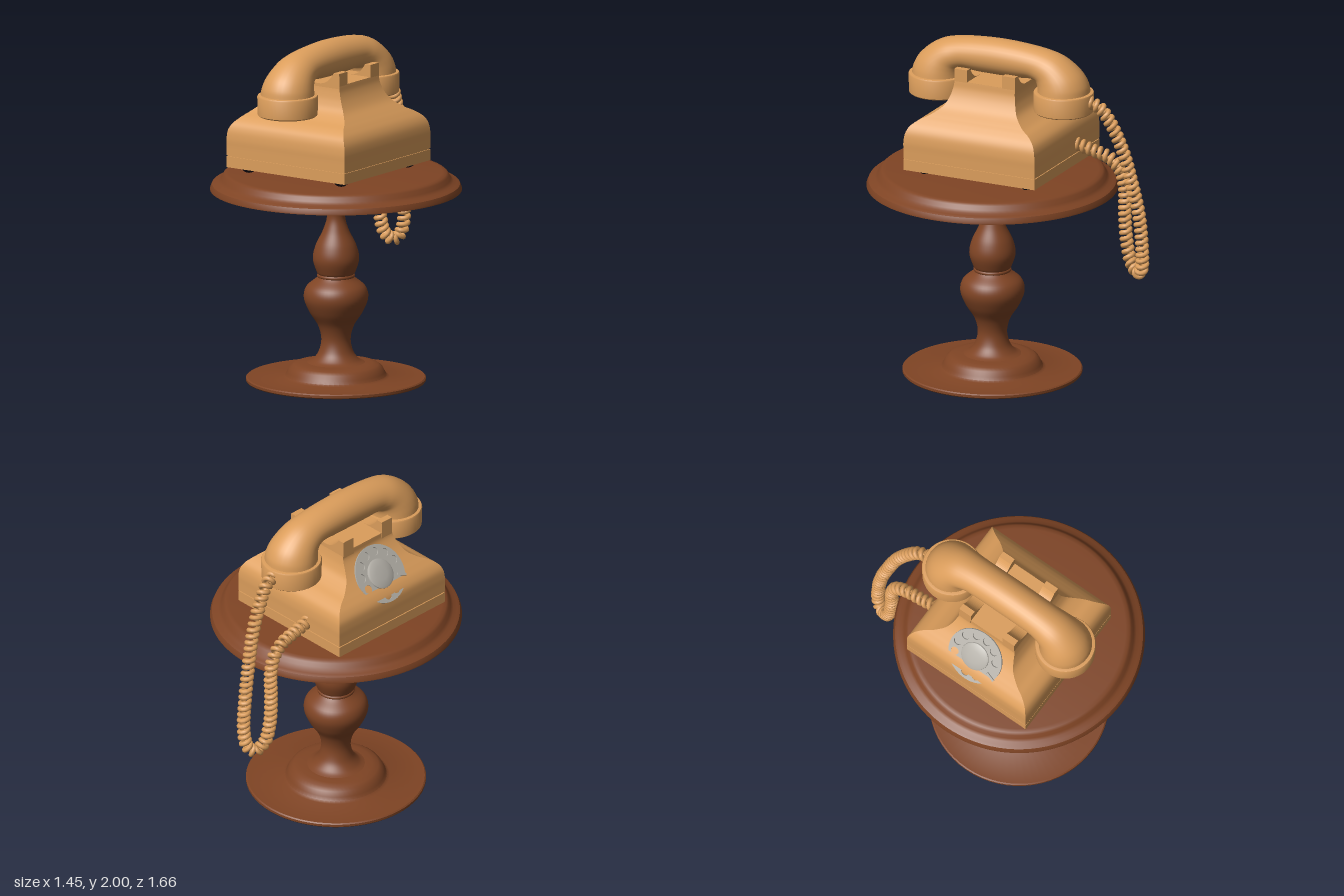
import * as THREE from 'three';
import { toCreasedNormals } from 'three/addons/utils/BufferGeometryUtils.js';

const material = (name, color) => {
  const m = new THREE.MeshStandardMaterial({ color });
  m.name = name;
  return m;
};

export function createModel() {
  const wood = material('brown wood', 0x7f4424);
  const tan = material('tan plastic', 0xdb9d5b);
  const grey = material('dial grey', 0xb2aea6);
  const black = material('dark rubber', 0x1c101c);
  const model = new THREE.Group();
  const CX = -0.07, CZ = 0.0775; // centre of the telephone

  const add = (parent, name, geometry, mat, x = 0, y = 0, z = 0) => {
    const mesh = new THREE.Mesh(geometry, mat);
    mesh.name = name;
    mesh.position.set(x, y, z);
    parent.add(mesh);
    return mesh;
  };
  const vec2 = (list) => list.map(([x, y]) => new THREE.Vector2(x, y));
  const lathe = (list, sides = 64) =>
    toCreasedNormals(new THREE.LatheGeometry(vec2(list), sides), 0.6);

  // Table: flat foot, turned stem, moulded top
  const table = new THREE.Group();
  table.name = 'table';
  table.position.z = 0.1;
  model.add(table);
  add(table, 'tableFoot', lathe([[0, 0], [0.515, 0], [0.52, 0.006], [0.52, 0.02], [0.513, 0.026],
    [0.31, 0.027], [0.293, 0.036], [0.283, 0.055], [0.268, 0.083], [0.245, 0.1], [0.21, 0.107], [0.16, 0.112], [0.1, 0.115]]), wood);
  const stem = new THREE.SplineCurve(vec2([[0.175, 0.108], [0.135, 0.128], [0.1, 0.175], [0.085, 0.25], [0.105, 0.33],
    [0.155, 0.41], [0.186, 0.49], [0.172, 0.555], [0.115, 0.605], [0.1, 0.625], [0.112, 0.645], [0.134, 0.72],
    [0.118, 0.8], [0.075, 0.89], [0.053, 0.97], [0.07, 1.05], [0.12, 1.1], [0.17, 1.135]]));
  add(table, 'tableStem', new THREE.LatheGeometry(stem.getPoints(100), 48), wood);
  const ring = add(table, 'stemRing', new THREE.TorusGeometry(0.098, 0.012, 10, 48), wood, 0, 0.622, 0);
  ring.rotation.x = Math.PI / 2;
  add(table, 'tableTop', lathe([[0, 1.13], [0.727, 1.13], [0.727, 1.138], [0.716, 1.164], [0.7, 1.173], [0.677, 1.18],
    [0.662, 1.195], [0.651, 1.218], [0.638, 1.229], [0.615, 1.232], [0, 1.232]], 96), wood);

  // Telephone body: base tray, seam and rubber feet
  const phone = new THREE.Group();
  phone.name = 'telephone';
  model.add(phone);
  add(phone, 'baseTray', new THREE.BoxGeometry(0.84, 0.064, 0.845), tan, CX, 1.3, CZ);
  add(phone, 'baseSeam', new THREE.BoxGeometry(0.828, 0.02, 0.833), tan, CX, 1.335, CZ);
  for (const x of [-0.4, 0.257])
    for (const z of [-0.25, 0.405])
      add(phone, 'foot', new THREE.SphereGeometry(0.05, 20, 14), black, x, 1.28, z);

  // Upper shell: rectangular sections [y, left x, right x, half depth], sharp at the corners
  const rows = [[1.338, -0.49, 0.35, 0.4225], [1.39, -0.49, 0.35, 0.4225], [1.44, -0.49, 0.35, 0.4225],
    [1.49, -0.484, 0.342, 0.415], [1.53, -0.462, 0.322, 0.395], [1.565, -0.43, 0.29, 0.352], [1.595, -0.4, 0.257, 0.295],
    [1.64, -0.357, 0.208, 0.238], [1.69, -0.318, 0.175, 0.212], [1.74, -0.29, 0.155, 0.199], [1.785, -0.286, 0.148, 0.192]];
  const curve = (k) => new THREE.CatmullRomCurve3(
    rows.map((r) => new THREE.Vector3(r[k], r[0], r[3])), false, 'catmullrom', 0.5);
  const steps = 50;
  const lefts = curve(1).getPoints(steps), rights = curve(2).getPoints(steps);
  const shell = { pos: [], index: [] };
  for (let side = 0; side < 4; side++) {
    for (let i = 0; i <= steps; i++) {
      const { x: x0, y, z: h } = lefts[i], x1 = rights[i].x;
      const corners = [[x0, CZ + h], [x1, CZ + h], [x1, CZ - h], [x0, CZ - h]];
      for (const [x, z] of [corners[side], corners[(side + 1) % 4]]) shell.pos.push(x, y, z);
      if (i < steps) {
        const a = (side * (steps + 1) + i) * 2;
        shell.index.push(a, a + 1, a + 3, a, a + 3, a + 2);
      }
    }
  }
  const loft = ({ pos, index }) => {
    const g = new THREE.BufferGeometry();
    g.setAttribute('position', new THREE.Float32BufferAttribute(pos, 3));
    g.setIndex(index);
    g.computeVertexNormals();
    return g;
  };
  add(phone, 'bodyShell', loft(shell), tan);
  add(phone, 'bodyTop', new THREE.BoxGeometry(0.432, 0.012, 0.382), tan, -0.069, 1.779, CZ);

  // Cradle: two saddle bars ending in horns
  const saddle = new THREE.Shape();
  saddle.moveTo(-0.219, 1.75);
  saddle.lineTo(0.219, 1.75);
  saddle.lineTo(0.217, 1.857);
  saddle.lineTo(0.178, 1.857);
  saddle.quadraticCurveTo(0.14, 1.79, 0.08, 1.786);
  saddle.lineTo(-0.08, 1.786);
  saddle.quadraticCurveTo(-0.14, 1.79, -0.178, 1.857);
  saddle.lineTo(-0.217, 1.857);
  for (const z of [-0.118, 0.19])
    add(phone, 'cradleBar', new THREE.ExtrudeGeometry(saddle, { depth: 0.082, bevelEnabled: false, curveSegments: 12 }), tan, CX, 0, z);

  // Dial on the sloping face, local y pointing out of it
  const dial = new THREE.Group();
  dial.name = 'dial';
  dial.position.set(-0.397, 1.612, 0.073);
  dial.rotation.z = 0.927;
  phone.add(dial);
  add(dial, 'dialBase', new THREE.CylinderGeometry(0.165, 0.155, 0.03, 48), grey, 0, -0.024, 0);
  const plate = new THREE.Shape().absarc(0, 0, 0.174, 0, Math.PI * 2);
  const stopAngle = 1.99;
  for (let i = 0; i < 10; i++) {
    const a = stopAngle + 0.72 + i * 0.54;
    plate.holes.push(new THREE.Path().absarc(Math.cos(a) * 0.133, Math.sin(a) * 0.133, 0.025, 0, Math.PI * 2, true));
  }
  const plateGeo = new THREE.ExtrudeGeometry(plate, { depth: 0.009, bevelEnabled: false, curveSegments: 28 });
  plateGeo.rotateX(Math.PI / 2);
  add(dial, 'fingerPlate', plateGeo, grey);
  add(dial, 'dialCentre', lathe([[0.09, -0.002], [0.088, 0.006], [0.078, 0.011], [0.04, 0.015], [0, 0.016]], 40), grey);
  const stop = add(dial, 'fingerStop', new THREE.BoxGeometry(0.06, 0.008, 0.014), grey,
    Math.cos(stopAngle) * 0.148, 0.004, Math.sin(stopAngle) * 0.148);
  stop.rotation.y = -stopAngle;

  // Handset grip: round sections given by outer and inner edge [offset, y] and half width
  const handset = new THREE.Group();
  handset.name = 'handset';
  handset.position.set(CX, 0, CZ);
  phone.add(handset);
  const half = [[0.558, 1.735, 0.25, 1.735, 0.158], [0.548, 1.79, 0.249, 1.765, 0.152], [0.515, 1.85, 0.244, 1.785, 0.142],
    [0.455, 1.907, 0.235, 1.796, 0.13], [0.38, 1.952, 0.215, 1.799, 0.12], [0.29, 1.977, 0.185, 1.797, 0.112],
    [0.16, 1.993, 0.125, 1.791, 0.11]];
  const sections = [...half, [0, 2, 0, 1.789, 0.11],
    ...half.slice().reverse().map(([a, b, c, d, w]) => [-a, b, -c, d, w])];
  const edge = (k) => new THREE.CatmullRomCurve3(
    sections.map((s) => new THREE.Vector3(s[4], s[k + 1], s[k])), false, 'catmullrom', 0.5).getPoints(84);
  const outer = edge(0), inner = edge(2), n = 32;
  const grip = { pos: [], index: [] };
  outer.forEach((o, i) => {
    const q = inner[i];
    for (let j = 0; j < n; j++) {
      const a = (j / n) * Math.PI * 2, c = Math.cos(a) / 2;
      grip.pos.push(Math.sin(a) * o.x, (o.y + q.y) / 2 + c * (o.y - q.y), (o.z + q.z) / 2 + c * (o.z - q.z));
      if (i < outer.length - 1) {
        const p = i * n + j, r = i * n + ((j + 1) % n);
        grip.index.push(p, r, p + n, r, r + n, p + n);
      }
    }
  });
  add(handset, 'grip', loft(grip), tan);

  // Earpiece and mouthpiece cups
  for (const [name, z] of [['mouthpiece', 0.402], ['earpiece', -0.402]])
    add(handset, name, lathe([[0, 1.608], [0.12, 1.611], [0.137, 1.626], [0.165, 1.622], [0.173, 1.629], [0.176, 1.735],
      [0.172, 1.743], [0.155, 1.746], [0.12, 1.746]], 48), tan, 0, 0, z);

  // Coiled cord: a helix wound round a hanging path
  const path = new THREE.CatmullRomCurve3([[-0.08, 1.7, -0.48], [-0.09, 1.67, -0.545], [-0.105, 1.58, -0.61], [-0.12, 1.42, -0.68],
    [-0.135, 1.24, -0.728], [-0.15, 1.02, -0.772], [-0.155, 0.81, -0.788], [-0.172, 0.7, -0.776], [-0.195, 0.665, -0.74],
    [-0.22, 0.71, -0.685], [-0.23, 0.83, -0.652], [-0.228, 1, -0.64], [-0.225, 1.16, -0.64], [-0.222, 1.265, -0.612],
    [-0.22, 1.33, -0.54], [-0.218, 1.357, -0.44], [-0.215, 1.385, -0.335]].map((p) => new THREE.Vector3(...p)));
  const count = 840, turns = 56;
  const frames = path.computeFrenetFrames(count, false);
  const coil = [];
  for (let i = 0; i <= count; i++) {
    const a = (i / count) * turns * Math.PI * 2;
    coil.push(path.getPointAt(i / count)
      .addScaledVector(frames.normals[i], Math.cos(a) * 0.027)
      .addScaledVector(frames.binormals[i], Math.sin(a) * 0.027));
  }
  add(phone, 'coiledCord', new THREE.TubeGeometry(new THREE.CatmullRomCurve3(coil), count, 0.0145, 8), tan);

  return model;
}
